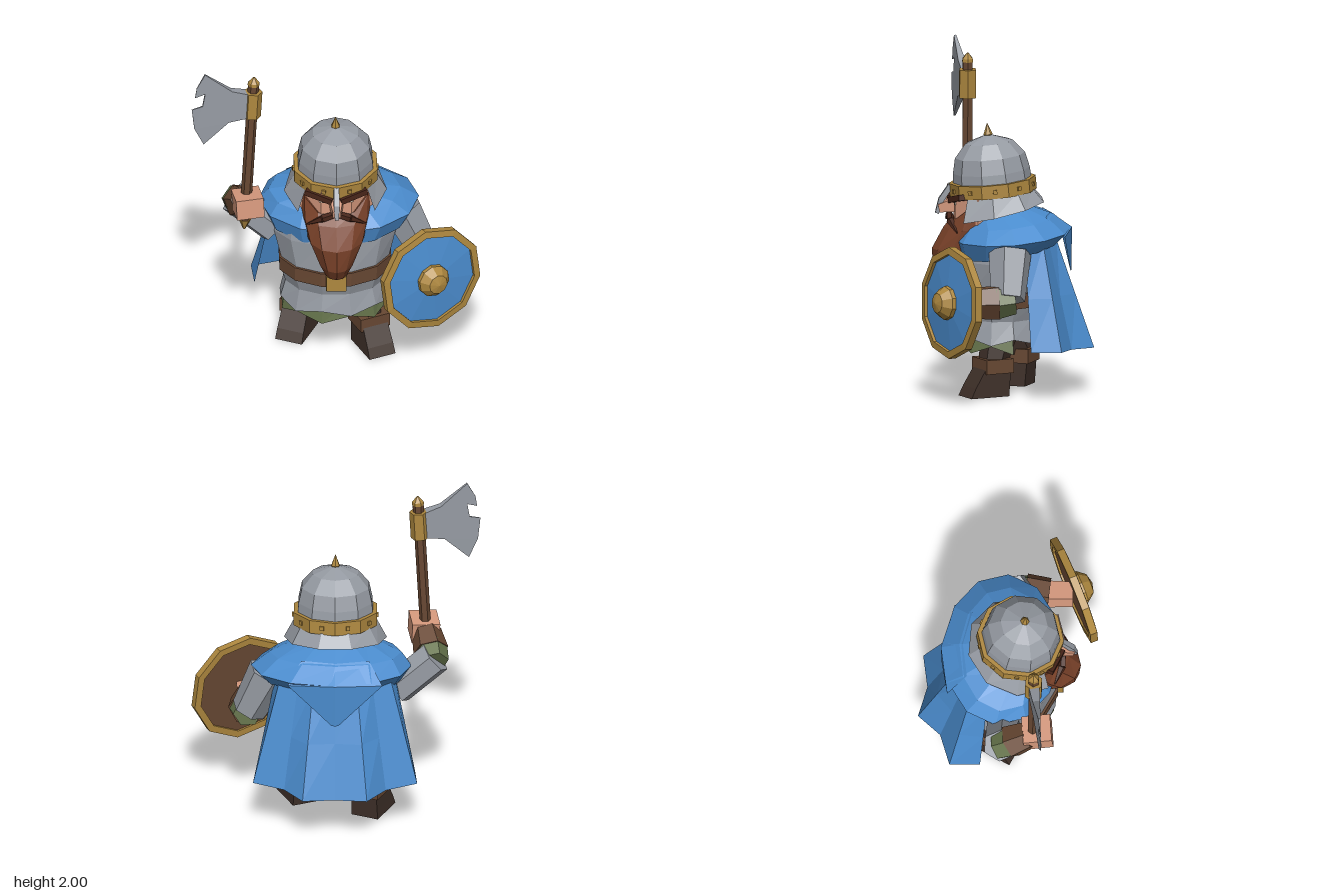
import * as THREE from 'three';

const mat = (name, color, open) => {
  const m = new THREE.MeshStandardMaterial({ color });
  m.name = name;
  if (open) m.side = THREE.DoubleSide;
  return m;
};

export function createModel() {
  const model = new THREE.Group();
  const steel = mat('steel', 0x979ca4, true), blue = mat('blue cloth', 0x4b8dcf, true);
  const gold = mat('gold', 0xae883f), beardRed = mat('beard', 0x7c432a);
  const darkHair = mat('dark hair', 0x482519), leather = mat('leather', 0x684833);
  const boots = mat('dark leather', 0x3f3029), skin = mat('skin', 0xd6997d);
  const green = mat('green cloth', 0x64724a, true), eyeWhite = mat('eye', 0xd8cbb8);

  // Faceted mesh
  const add = (name, geo, material, parent = model) => {
    const g = geo.index ? geo.toNonIndexed() : geo;
    g.computeVertexNormals();
    const m = new THREE.Mesh(g, material);
    m.name = name;
    parent.add(m);
    return m;
  };
  // Skin rows of points, listed bottom to top
  const loft = (rows, closed = true) => {
    const p = [], n = rows[0].length;
    for (let j = 0; j < rows.length - 1; j++) {
      for (let i = 0; i < (closed ? n : n - 1); i++) {
        const k = (i + 1) % n, a = rows[j][i], b = rows[j][k], c = rows[j + 1][k], d = rows[j + 1][i];
        p.push(...a, ...b, ...c, ...a, ...c, ...d);
      }
    }
    const g = new THREE.BufferGeometry();
    g.setAttribute('position', new THREE.Float32BufferAttribute(p, 3));
    return g;
  };
  // Elliptical ring; y may depend on the angle, 0 being the front
  const ring = (n, y, rx, rz, cz = 0, off = 0.5, cx = 0) => Array.from({ length: n }, (_, i) => {
    const a = (i + off) / n * Math.PI * 2;
    return [cx + rx * Math.sin(a), typeof y === 'function' ? y(a, i) : y, cz + rz * Math.cos(a)];
  });
  // Tapered prism between two points
  const limb = (name, a, b, ra, rb, sides, material, parent) => {
    const A = new THREE.Vector3(...a), B = new THREE.Vector3(...b), d = B.clone().sub(A);
    const m = add(name, new THREE.CylinderGeometry(rb, ra, d.length(), sides).rotateY(Math.PI / sides), material, parent);
    m.position.copy(A).add(B).multiplyScalar(0.5);
    m.quaternion.setFromUnitVectors(new THREE.Vector3(0, 1, 0), d.normalize());
    return m;
  };
  const lathe = (pts, n) => new THREE.LatheGeometry(pts.map(p => new THREE.Vector2(...p)), n);

  // Tunic and belt
  add('tunic', loft([
    ring(12, 0.42, 0, 0, 0.04),
    ring(12, (a, i) => (i % 2 ? 0.345 : 0.31), 0.335, 0.265, 0.04),
    ring(12, 0.45, 0.305, 0.24, 0.04), ring(12, 0.54, 0.33, 0.268, 0.04), ring(12, 0.61, 0.328, 0.265, 0.04),
    ring(12, 0.8, 0.375, 0.265, 0.03), ring(12, 0.95, 0.36, 0.25, 0.02), ring(12, 1.08, 0.18, 0.17, 0.04),
  ]), steel);
  // Ragged green hem around the front and sides
  const frontArc = r => [...r.slice(-4), ...r.slice(0, 4)];
  add('greenHem', loft([
    frontArc(ring(12, (a, i) => (i % 2 ? 0.255 : 0.305), 0.325, 0.255, 0.04)), frontArc(ring(12, 0.4, 0.3, 0.235, 0.04)),
  ], false), green);
  add('belt', loft([
    ring(12, 0.53, 0.31, 0.25, 0.04), ring(12, 0.53, 0.34, 0.28, 0.04),
    ring(12, 0.62, 0.343, 0.28, 0.04), ring(12, 0.62, 0.31, 0.25, 0.04),
  ]), leather);
  add('buckle', new THREE.BoxGeometry(0.12, 0.1, 0.05), gold).position.set(0, 0.565, 0.315);

  // Legs splayed outward: left foot ahead, right foot behind
  for (const [s, z] of [[1, 0.09], [-1, -0.09]]) {
    const side = s > 0 ? 'left' : 'right';
    limb(side + 'Thigh', [s * 0.15, 0.43, 0.04], [s * 0.2, 0.19, z], 0.12, 0.085, 6, boots);
    const leg = new THREE.Group();
    leg.name = side + 'Leg';
    leg.position.set(s * 0.2, 0, z);
    leg.rotation.y = s * 0.42;
    model.add(leg);
    const rect = (y, w, z0, z1) => [[-w, y, z1], [w, y, z1], [w, y, z0], [-w, y, z0]];
    add('boot', loft([rect(0, 0, 0, 0), rect(0, 0.085, -0.065, 0.185), rect(0.06, 0.083, -0.07, 0.155),
      rect(0.18, 0.08, -0.08, 0.08), rect(0.18, 0, 0, 0)]), boots, leg);
    add('bootCuff', new THREE.BoxGeometry(0.19, 0.085, 0.18), leather, leg).position.y = 0.182;
  }

  // Cape and its folds
  const half = [[0, -0.47, 0, -0.28], [0.19, -0.51, 0.13, -0.29], [0.3, -0.37, 0.22, -0.24],
    [0.485, -0.3, 0.33, -0.2], [0.47, -0.12, 0.35, -0.09]];
  const full = [...half.slice(1).reverse().map(([a, b, c, d]) => [-a, b, -c, d]), ...half].reverse();
  const capeRow = t => full.map(([x0, z0, x1, z1]) => [
    THREE.MathUtils.lerp(x0, x1, t), 0.265 + 0.06 * Math.abs(x0) * (1 - t) + 0.65 * t, THREE.MathUtils.lerp(z0, z1, t)]);
  add('cape', loft([capeRow(0), capeRow(0.5), capeRow(1)], false), blue);
  // Shoulder mantle, higher at the back and wider over the shield arm
  const lift = (f, b) => a => f + (b - f) * (1 - Math.cos(a)) / 2;
  add('mantle', loft([
    ring(12, lift(0.8, 0.9), 0.42, 0.3, -0.01, 0, 0.015), ring(12, lift(0.91, 0.97), 0.475, 0.35, -0.03, 0, 0.025),
    ring(12, lift(0.99, 1.05), 0.39, 0.27, -0.01, 0), ring(12, lift(1.06, 1.11), 0.21, 0.17, 0.05, 0),
  ]), blue);
  // Hood point hanging behind
  add('hood', loft([
    [[0.02, 0.71, -0.38], [0, 0.71, -0.385], [-0.02, 0.71, -0.38]],
    [[0.28, 0.95, -0.33], [0, 0.97, -0.39], [-0.28, 0.95, -0.33]],
    [[0.2, 1.06, -0.22], [0, 1.06, -0.26], [-0.2, 1.06, -0.22]],
  ], false), blue);

  // Right arm raised with the axe
  limb('rightUpperArm', [-0.36, 0.77, 0.01], [-0.59, 0.975, 0.01], 0.105, 0.105, 6, steel);
  limb('rightElbow', [-0.58, 0.95, -0.01], [-0.56, 1.0, 0.09], 0.09, 0.1, 6, green);
  limb('rightBracer', [-0.562, 0.99, 0.07], [-0.535, 1.06, 0.18], 0.105, 0.088, 6, leather);
  const rightHand = add('rightHand', new THREE.BoxGeometry(0.165, 0.125, 0.17), skin);
  rightHand.position.set(-0.52, 1.072, 0.225);
  rightHand.rotation.set(-0.1, 0.15, 0.05);
  // Left arm bent forward behind the shield
  limb('leftUpperArm', [0.39, 0.88, 0], [0.515, 0.62, 0.02], 0.13, 0.105, 6, steel);
  limb('leftElbow', [0.52, 0.615, -0.02], [0.525, 0.605, 0.09], 0.085, 0.105, 6, green);
  limb('leftBracer', [0.525, 0.605, 0.07], [0.52, 0.6, 0.21], 0.11, 0.1, 6, leather);
  limb('leftHand', [0.52, 0.6, 0.2], [0.53, 0.6, 0.35], 0.085, 0.08, 4, skin);

  // Axe
  const axe = new THREE.Group();
  axe.name = 'axe';
  model.add(axe);
  const at = y => [-0.54 + (y - 0.89) * 0.055, y, 0.2];
  limb('handle', at(0.94), at(1.9), 0.033, 0.033, 6, leather, axe);
  limb('pommel', at(0.88), at(0.95), 0.008, 0.04, 6, gold, axe);
  limb('socket', at(1.67), at(1.84), 0.055, 0.055, 6, gold, axe);
  limb('capRing', at(1.885), at(1.905), 0.036, 0.034, 6, gold, axe);
  limb('capTip', at(1.905), at(1.938), 0.034, 0.006, 6, gold, axe);
  const outline = [[0, 1.83], [-0.13, 1.87], [-0.29, 2], [-0.34, 1.91], [-0.35, 1.845], [-0.29, 1.865], [-0.305, 1.78],
    [-0.37, 1.765], [-0.355, 1.63], [-0.3, 1.515], [-0.15, 1.655], [0, 1.68]];
  const bladeGeo = new THREE.ExtrudeGeometry(new THREE.Shape(outline.map(p => new THREE.Vector2(...p))),
    { depth: 1, bevelEnabled: false });
  const bp = bladeGeo.attributes.position;
  // Thins toward the cutting edge
  for (let i = 0; i < bp.count; i++) bp.setZ(i, (bp.getZ(i) - 0.5) * Math.max(0.004, 0.07 * (1 + bp.getX(i) / 0.36)));
  const blade = add('blade', bladeGeo, steel, axe);
  blade.position.set(-0.49, 0, 0.2);
  blade.rotation.y = 0.2;

  // Shield
  const shield = new THREE.Group();
  shield.name = 'shield';
  shield.position.set(0.555, 0.61, 0.355);
  shield.rotation.set(-0.06, 0.47, 0.1, 'YXZ');
  model.add(shield);
  const disc = (name, pts, m) => add(name, lathe(pts, 10).rotateX(Math.PI / 2), m, shield);
  disc('shieldRim', [[0.288, -0.025], [0.33, -0.025], [0.33, 0.02], [0.288, 0.025], [0.288, -0.025]], gold);
  disc('shieldFace', [[0.292, 0.005], [0, 0.035]], blue);
  disc('shieldBack', [[0, -0.012], [0.292, -0.012]], leather);
  disc('shieldBoss', [[0.1, 0.01], [0.1, 0.05], [0.06, 0.1], [0, 0.115]], gold);

  // Head and face
  const head = new THREE.Group();
  head.name = 'head';
  model.add(head);
  add('face', new THREE.CylinderGeometry(0.235, 0.235, 0.2, 8).rotateY(Math.PI / 8), skin, head).position.set(0, 1.1, 0.09);
  limb('nose', [0, 1.12, 0.27], [0, 1.09, 0.4], 0.065, 0.034, 4, skin, head);
  for (const s of [-1, 1]) {
    const brow = add('brow', new THREE.BoxGeometry(0.17, 0.035, 0.06), darkHair, head);
    brow.position.set(s * 0.098, 1.16, 0.29);
    brow.rotation.set(0, s * 0.35, s * 0.22, 'YXZ');
    const eye = add('eye', new THREE.BoxGeometry(0.045, 0.012, 0.008), eyeWhite, head);
    eye.position.set(s * 0.08, 1.126, 0.306);
    eye.rotation.z = s * 0.2;
    const pupil = add('pupil', new THREE.BoxGeometry(0.016, 0.012, 0.008), boots, head);
    pupil.position.set(s * 0.076, 1.125, 0.308);
    // Moustache sweeping down to each side
    limb('moustache', [0, 1.055, 0.335], [s * 0.08, 1.025, 0.335], 0.02, 0.024, 5, darkHair, head);
    limb('moustacheTip', [s * 0.08, 1.025, 0.335], [s * 0.175, 0.965, 0.3], 0.024, 0.004, 5, darkHair, head);
  }
  // Beard: half-round rows from tip to cheeks
  const beardRow = (y, w, zb, zf, rise = 0) => Array.from({ length: 7 }, (_, i) => {
    const a = (i / 6 - 0.5) * Math.PI;
    return [w * Math.sin(a), y + rise * Math.sin(a) ** 4, zb + (zf - zb) * Math.cos(a)];
  });
  add('beard', loft([
    beardRow(0.61, 0, 0.33, 0.33), beardRow(0.62, 0.07, 0.28, 0.38), beardRow(0.7, 0.11, 0.26, 0.43),
    beardRow(0.85, 0.175, 0.23, 0.44), beardRow(0.98, 0.212, 0.17, 0.37),
    beardRow(1.035, 0.215, 0.13, 0.325, 0.14), beardRow(1.0, 0, 0.2, 0.2),
  ]), beardRed, head);

  // Helmet, tipped slightly forward
  const helmet = new THREE.Group();
  helmet.name = 'helmet';
  helmet.position.set(0.002, 1.225, 0.08);
  helmet.rotation.x = 0.09;
  model.add(helmet);
  add('dome', lathe([[0.235, 0], [0.228, 0.09], [0.208, 0.18], [0.14, 0.26], [0, 0.308]], 10), steel, helmet);
  add('helmetBand', lathe([[0.225, -0.045], [0.258, -0.045], [0.258, 0.035], [0.225, 0.035], [0.225, -0.045]], 10), gold, helmet);
  add('spike', lathe([[0.012, 0.285], [0.027, 0.305], [0, 0.375]], 6), gold, helmet);
  for (let i = 0; i < 10; i++) {
    const a = (i + 0.5) / 10 * Math.PI * 2;
    const r = add('rivet', new THREE.BoxGeometry(0.024, 0.024, 0.02), gold, helmet);
    r.position.set(0.245 * Math.sin(a), -0.005, 0.245 * Math.cos(a));
    r.rotation.y = a;
  }
  // Neck guard, open at the face
  const guardRow = (r, yf, yb) => Array.from({ length: 8 }, (_, i) => {
    const a = 0.84 + i / 7 * (Math.PI * 2 - 1.68);
    return [r * Math.sin(a), lift(yf, yb)(a), r * Math.cos(a)];
  });
  add('neckGuard', loft([guardRow(0.305, -0.19, -0.115), guardRow(0.24, -0.03, -0.03)], false), steel, helmet);
  // Nose guard
  limb('noseGuardTop', [0, 1.23, 0.325], [0, 1.14, 0.385], 0.022, 0.024, 4, steel, head);
  limb('noseGuardTip', [0, 1.145, 0.383], [0, 1.06, 0.41], 0.024, 0.016, 4, steel, head);

  return model;
}
